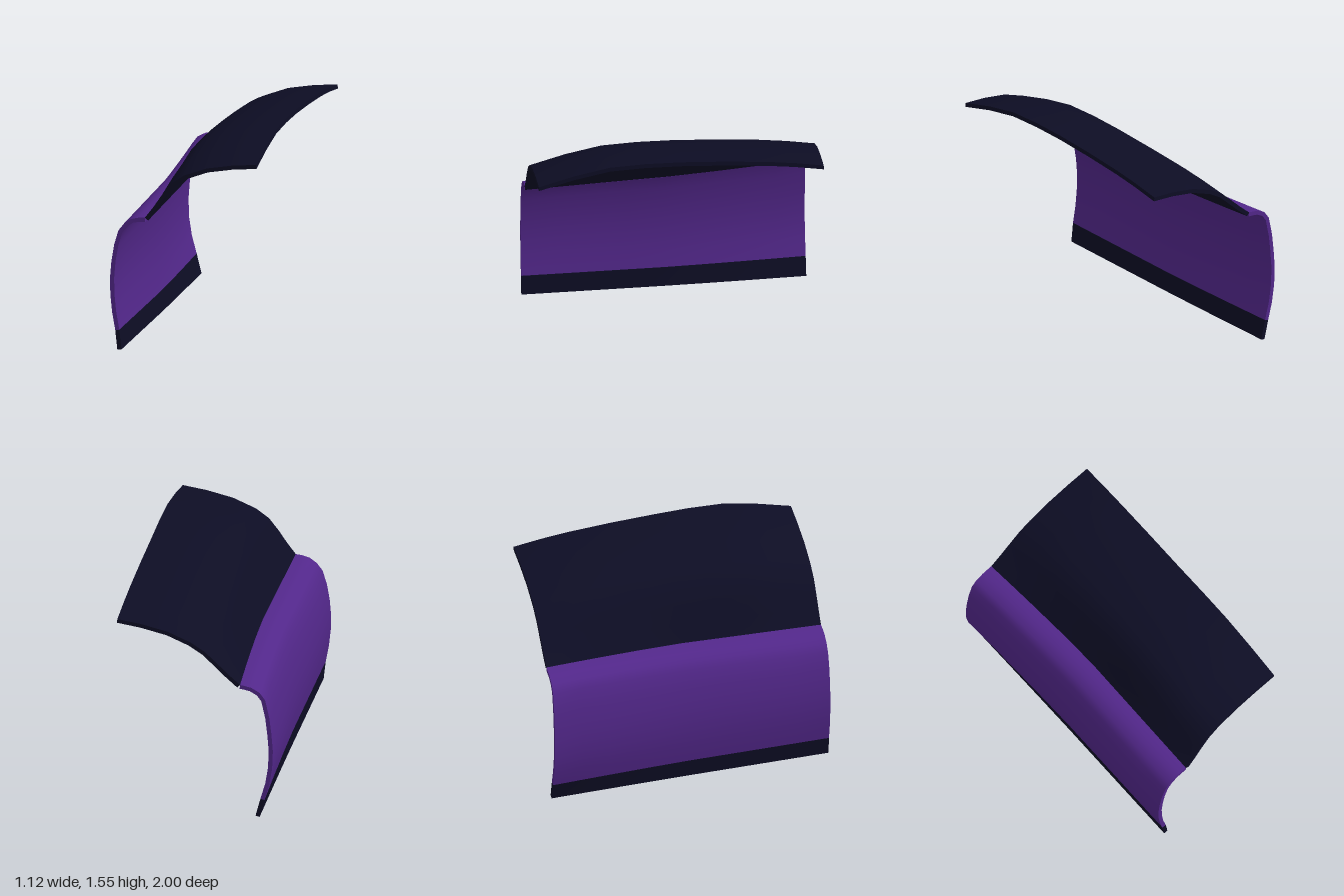
import * as THREE from 'three';
import { mergeGeometries } from 'three/addons/utils/BufferGeometryUtils.js';

const THICKNESS = 0.03;
const STATIONS = [1, 0.75, 0.5, 0.25, 0, -0.3, -0.6, -0.8, -1];

// Door profile, bottom to shoulder, at the front end and at the back end
const DOOR_FRONT = [[-0.46, 0], [-0.475, 0.14], [-0.498, 0.27], [-0.511, 0.4], [-0.513, 0.52], [-0.503, 0.64],
  [-0.483, 0.76], [-0.452, 0.865], [-0.41, 0.92], [-0.36, 0.955], [-0.31, 0.968], [-0.26, 0.972]];
const DOOR_BACK = [[-0.47, 0], [-0.505, 0.14], [-0.54, 0.27], [-0.56, 0.4], [-0.565, 0.54], [-0.555, 0.67],
  [-0.54, 0.8], [-0.51, 0.94], [-0.47, 0.995], [-0.41, 1.028], [-0.36, 1.037], [-0.33, 1.04]];

// Roof profile at the front end: x, y and how fully the crown lifts that point
const ROOF = [[-0.26, 0.972, 0], [-0.2, 1.055, 0.3], [-0.14, 1.15, 0.65], [-0.075, 1.235, 0.88],
  [0.015, 1.3, 1], [0.18, 1.365, 1], [0.37, 1.402, 1], [0.54, 1.42, 1]];
const CROWN = [0, 0.07, 0.12, 0.13, 0.126, 0.112, 0.09, 0.067, 0.035];

const flare = (z) => Math.pow(Math.max(0, -z), 1.3);
const lerp = THREE.MathUtils.lerp;

// Smooth surface through rows of points
function grid(rows) {
  const n = rows[0].length;
  const index = [];
  for (let i = 0; i < rows.length - 1; i++) {
    for (let j = 0; j < n - 1; j++) {
      const a = i * n + j, b = a + n;
      index.push(a, b, a + 1, b, b + 1, a + 1);
    }
  }
  const geometry = new THREE.BufferGeometry().setFromPoints(rows.flat());
  geometry.setIndex(index);
  geometry.computeVertexNormals();
  return geometry;
}

// Thin curved panel: outer skin, inner skin and four edges
function panel(name, rows, material) {
  const outer = grid(rows);
  const normals = outer.attributes.normal;
  const n = rows[0].length;
  const inner = rows.map((row, i) => row.map((p, j) => {
    const q = p.clone().addScaledVector(new THREE.Vector3().fromBufferAttribute(normals, i * n + j), -THICKNESS);
    q.z = p.z;
    return q;
  }));
  const last = rows.length - 1;
  const column = (r, j) => r.map((row) => row[j]);
  const geometry = mergeGeometries([
    outer,
    grid([...inner].reverse()),
    grid([inner[0], rows[0]]),
    grid([rows[last], inner[last]]),
    grid([column(rows, 0), column(inner, 0)]),
    grid([column(inner, n - 1), column(rows, n - 1)]),
  ]);
  const mesh = new THREE.Mesh(geometry, material);
  mesh.name = name;
  return mesh;
}

export function createModel() {
  const purple = new THREE.MeshStandardMaterial({ color: 0x52278a });
  purple.name = 'purple';
  const navy = new THREE.MeshStandardMaterial({ color: 0x0d0d24 });
  navy.name = 'navy';

  // The door flares outward and rises toward the back
  const doorRows = DOOR_FRONT.map(([x, y], i) => STATIONS.map((z) => new THREE.Vector3(
    lerp(x, DOOR_BACK[i][0], flare(z)), lerp(y, DOOR_BACK[i][1], (1 - z) / 2), z)));

  // The roof follows the door's shoulder and swells into a crown
  const roofRows = ROOF.map(([x, y, w]) => STATIONS.map((z, j) => new THREE.Vector3(
    x - 0.07 * flare(z) * (1 - w) + 0.008 * w * Math.abs(z),
    y + lerp(0.034 * (1 - z), CROWN[j], w), z)));

  const model = new THREE.Group();
  model.name = 'curvedDoorAndRoof';
  model.add(
    panel('lowerSill', doorRows.slice(0, 2), navy),
    panel('doorPanel', doorRows.slice(1), purple),
    panel('roofPanel', roofRows, navy),
  );
  return model;
}
